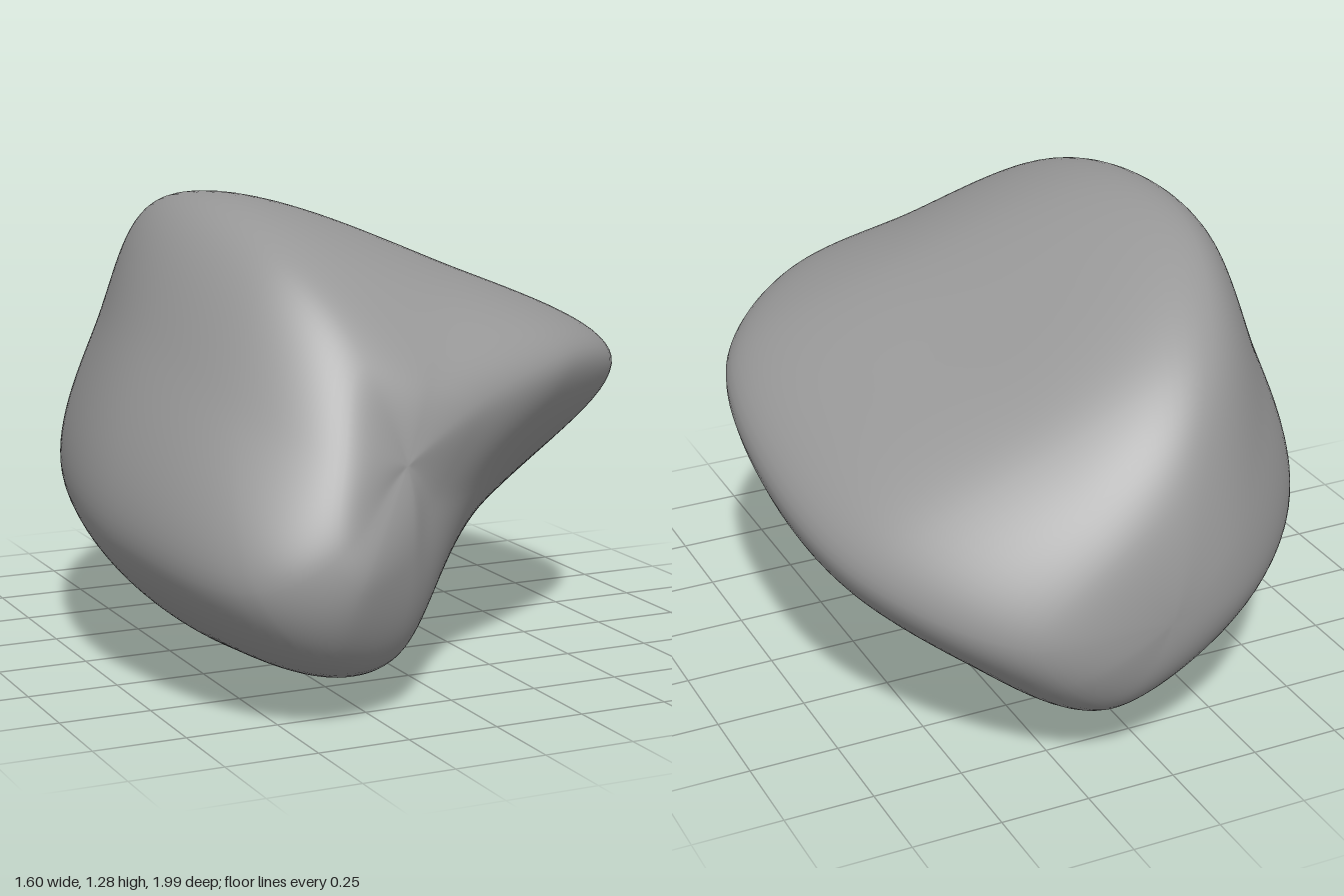
import * as THREE from 'three';
import { mergeVertices } from 'three/addons/utils/BufferGeometryUtils.js';

// Front and back poles of the stone; every meridian runs between them
const FRONT = [-0.2, 0.67, 0.885];
const BACK = [0.01, 0.46, -0.995];

// Ridges and the faces between them, clockwise seen from the front
const MERIDIANS = [
  // top ridge
  [[-0.28, 0.92, 0.79], [-0.38, 1.15, 0.52], [-0.41, 1.265, 0.08], [-0.38, 1.23, -0.35], [-0.24, 1.04, -0.72], [-0.09, 0.78, -0.92]],
  // upper left face, slightly bulged
  [[-0.1, 0.87, 0.81], [0.05, 1.03, 0.6], [0.25, 1.08, 0.2], [0.27, 1.01, -0.25], [0.25, 0.87, -0.7], [0.16, 0.67, -0.94]],
  // left ridge
  [[0.03, 0.79, 0.82], [0.39, 0.87, 0.67], [0.72, 0.8, 0.34], [0.8, 0.68, -0.11], [0.71, 0.55, -0.59], [0.39, 0.45, -0.94]],
  // hollow lower left face
  [[-0.09, 0.57, 0.83], [0.09, 0.53, 0.69], [0.29, 0.42, 0.37], [0.41, 0.27, -0.04], [0.45, 0.25, -0.51], [0.31, 0.31, -0.94]],
  // bottom ridge
  [[-0.2, 0.43, 0.92], [-0.19, 0.17, 0.82], [-0.14, 0.04, 0.45], [-0.02, 0.004, 0.04], [0.1, 0.035, -0.42], [0.13, 0.2, -0.92]],
  // lower right face
  [[-0.37, 0.4, 0.995], [-0.43, 0.18, 0.88], [-0.52, 0.13, 0.4], [-0.42, 0.085, 0.02], [-0.28, 0.14, -0.5], [-0.08, 0.3, -0.94]],
  // right edge
  [[-0.43, 0.49, 0.98], [-0.63, 0.39, 0.88], [-0.79, 0.43, 0.36], [-0.755, 0.45, -0.1], [-0.57, 0.45, -0.59], [-0.25, 0.45, -0.92]],
  // upper right face
  [[-0.38, 0.7, 0.9], [-0.58, 0.79, 0.66], [-0.66, 0.9, 0.25], [-0.63, 0.9, -0.15], [-0.47, 0.83, -0.61], [-0.22, 0.63, -0.92]],
];

const vec = (p) => new THREE.Vector3(...p);

// Each meridian carries on over both poles into the opposite one, so the poles stay rounded
const curves = MERIDIANS.map((m, i) => {
  const opposite = MERIDIANS[(i + 4) % 8];
  return new THREE.CatmullRomCurve3([opposite[0], FRONT, ...m, BACK, opposite[5]].map(vec));
});

// Skin the meridians: a closed smooth ring at each step from front to back
function skin(rows, cols) {
  const positions = [], index = [];
  for (let i = 0; i <= rows; i++) {
    const t = (1 + (7 * i) / rows) / 9;
    const ring = new THREE.CatmullRomCurve3(curves.map((c) => c.getPoint(t)), true);
    const pole = i === 0 ? vec(FRONT) : i === rows ? vec(BACK) : null;
    for (let j = 0; j < cols; j++) {
      positions.push(...(pole ?? ring.getPoint(j / cols)).toArray());
      if (i === rows) continue;
      const k = (j + 1) % cols;
      const a = i * cols + j, b = a + cols, c = i * cols + k, d = c + cols;
      if (i > 0) index.push(a, c, b);
      if (i < rows - 1) index.push(c, d, b);
    }
  }
  const geometry = new THREE.BufferGeometry();
  geometry.setAttribute('position', new THREE.Float32BufferAttribute(positions, 3));
  geometry.setIndex(index);
  const merged = mergeVertices(geometry);
  merged.computeVertexNormals();
  return merged;
}

export function createModel() {
  const stone = new THREE.Mesh(skin(84, 128), new THREE.MeshStandardMaterial({ color: 0x979797 }));
  stone.name = 'stone';
  const group = new THREE.Group();
  group.name = 'smoothStone';
  group.add(stone);
  return group;
}
